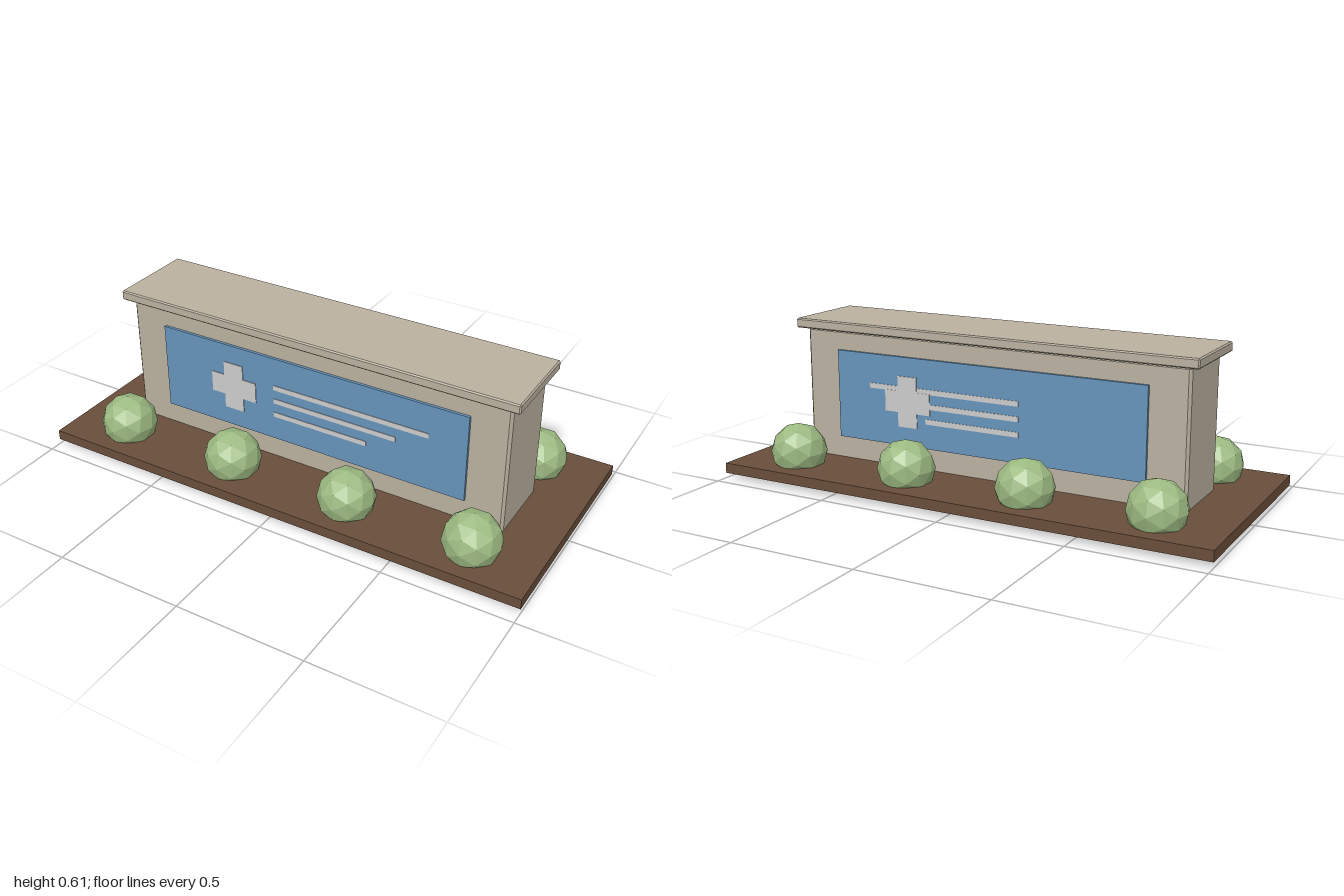
import * as THREE from 'three';
import { ConvexGeometry } from 'three/addons/geometries/ConvexGeometry.js';

const mat = (name, color, flatShading = false) => {
  const m = new THREE.MeshStandardMaterial({ color, flatShading });
  m.name = name;
  return m;
};

// Box with chamfered edges, spanning w x h x d about its centre
function chamferBox(w, h, d, c) {
  const pts = [];
  for (const x of [-1, 1]) for (const y of [-1, 1]) for (const z of [-1, 1]) {
    const X = x * w / 2, Y = y * h / 2, Z = z * d / 2;
    pts.push(
      new THREE.Vector3(X, Y - y * c, Z - z * c),
      new THREE.Vector3(X - x * c, Y, Z - z * c),
      new THREE.Vector3(X - x * c, Y - y * c, Z));
  }
  return new ConvexGeometry(pts);
}

export function createModel() {
  const group = new THREE.Group();
  group.name = 'monumentSign';
  const stone = mat('stone', 0xbab1a0);
  const soil = mat('soil', 0x694e3b);
  const blue = mat('panelBlue', 0x6794bb);
  const pale = mat('paleGrey', 0xcccccc);
  const leaf = mat('leafGreen', 0x9dba82, true);

  const add = (parent, name, geometry, material, x, y, z) => {
    const mesh = new THREE.Mesh(geometry, material);
    mesh.name = name;
    mesh.position.set(x, y, z);
    parent.add(mesh);
    return mesh;
  };

  // Planting bed, wall and cap
  add(group, 'plantingBed', new THREE.BoxGeometry(2, 0.04, 0.9), soil, 0, 0.04, 0);
  add(group, 'wall', chamferBox(1.6, 0.557, 0.3, 0.01), stone, 0, 0.2965, 0);
  add(group, 'cap', chamferBox(1.67, 0.038, 0.356, 0.005), stone, 0, 0.592, 0);

  // Plus-shaped emblem
  const a = 0.1, b = 0.0425;
  const outline = [[-b, -a], [b, -a], [b, -b], [a, -b], [a, b], [b, b],
    [b, a], [-b, a], [-b, b], [-a, b], [-a, -b], [-b, -b]];
  const crossShape = new THREE.Shape(outline.map(([x, y]) => new THREE.Vector2(x, y)));
  const crossGeo = new THREE.ExtrudeGeometry(crossShape, { depth: 0.005, bevelEnabled: false });
  crossGeo.translate(0, 0, -0.0025);

  // Sign face on the front and the back
  for (const s of [1, -1]) {
    const face = new THREE.Group();
    face.name = s > 0 ? 'frontSign' : 'backSign';
    group.add(face);
    add(face, 'panel', new THREE.BoxGeometry(1.3, 0.35, 0.02), blue, 0, 0.322, s * 0.151);
    add(face, 'cross', crossGeo, pale, -s * 0.33, 0.322, s * 0.1615);
    [[0.65, 0.372], [0.52, 0.314], [0.4, 0.255]].forEach(([len, y]) =>
      add(face, 'stripe', new THREE.BoxGeometry(len, 0.02, 0.004), pale, -0.15 + len / 2, y, s * 0.161));
  }

  // Two rows of round shrubs
  const shrub = new THREE.IcosahedronGeometry(0.11, 1);
  for (const z of [0.3, -0.3])
    for (const x of [-0.75, -0.25, 0.25, 0.75])
      add(group, 'shrub', shrub, leaf, x, 0.11, z);

  return group;
}
